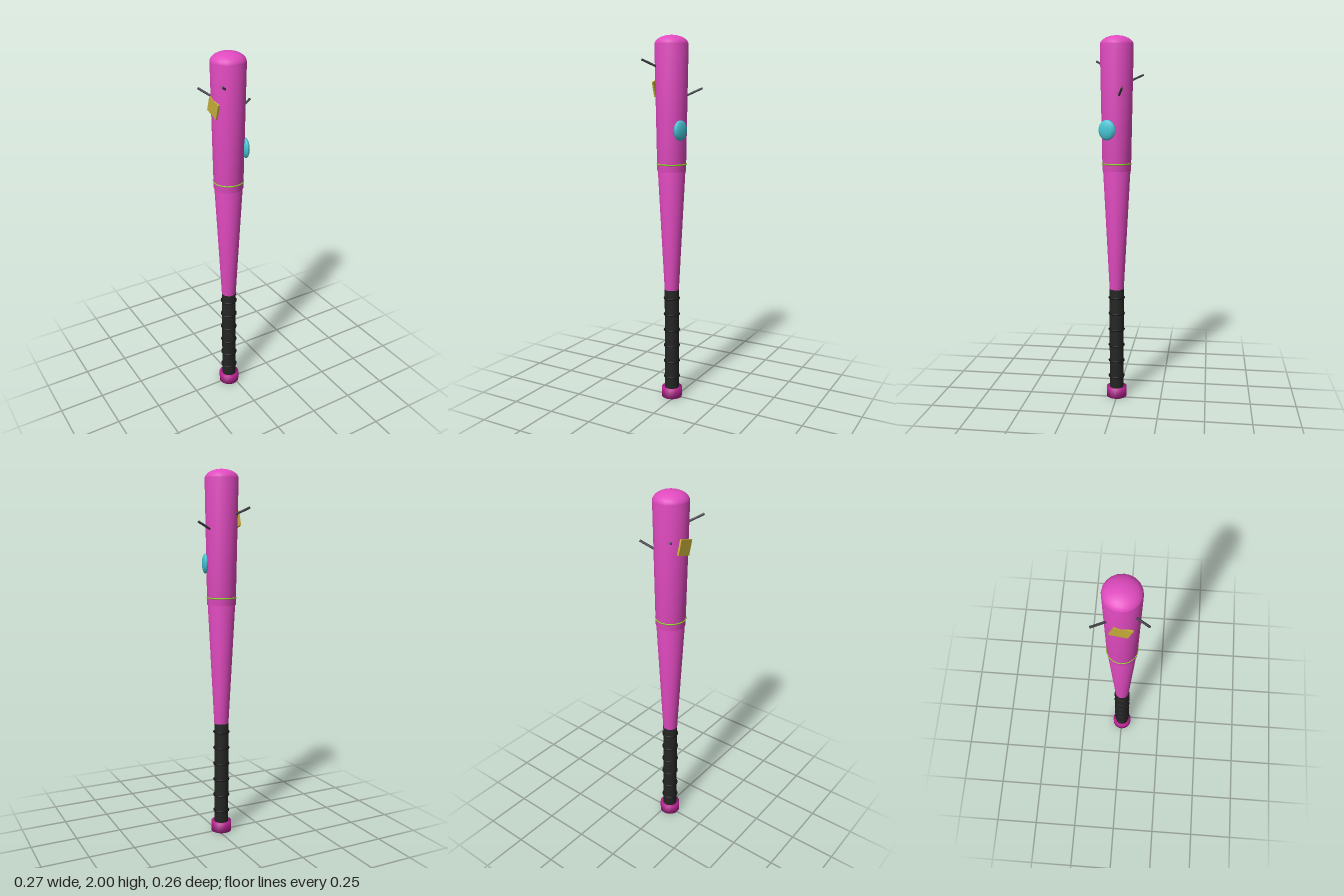
import * as THREE from 'three';
import { mergeVertices } from 'three/addons/utils/BufferGeometryUtils.js';

const paint = (name, color) => {
  const m = new THREE.MeshStandardMaterial({ color });
  m.name = name;
  return m;
};

// Share vertices between walls and caps so the shading rolls over the rims
function soften(geometry) {
  geometry.deleteAttribute('normal');
  geometry.deleteAttribute('uv');
  const merged = mergeVertices(geometry, 1e-5);
  merged.computeVertexNormals();
  return merged;
}

export function createModel() {
  const model = new THREE.Group();
  model.name = 'bat';
  const pink = paint('pink', 0xe04abf);
  const magenta = paint('dark magenta', 0xb5218f);
  const grip = paint('grip black', 0x242624);
  const cord = paint('cord black', 0x141514);
  const lime = paint('lime', 0x8ad022);
  const steel = paint('dark steel', 0x45454d);
  const cyan = paint('cyan', 0x48c6d6);
  const yellow = paint('mustard', 0xc8b03a);

  // The shaft stands slightly off centre because of the studs
  const shaft = new THREE.Group();
  shaft.name = 'shaft';
  shaft.position.set(-0.025, 0, 0.003);
  model.add(shaft);

  const add = (parent, name, geometry, material) => {
    const mesh = new THREE.Mesh(geometry, material);
    mesh.name = name;
    parent.add(mesh);
    return mesh;
  };
  const section = (name, rTop, rBottom, y0, y1, material) => {
    const geometry = soften(new THREE.CylinderGeometry(rTop, rBottom, y1 - y0, 20));
    add(shaft, name, geometry, material).position.y = (y0 + y1) / 2;
  };
  const ring = (name, radius, tube, y, material) => {
    const mesh = add(shaft, name, new THREE.TorusGeometry(radius, tube, 8, 24), material);
    mesh.rotation.x = Math.PI / 2;
    mesh.position.y = y;
  };

  // Knob, handle, taper and barrel
  section('knob', 0.057, 0.057, 0, 0.055, magenta);
  section('handle', 0.04, 0.04, 0.05, 0.635, grip);
  section('taper', 0.075, 0.04, 0.63, 1.295, pink);
  section('barrel', 0.09, 0.078, 1.29, 1.95, pink);

  // Rounded end
  const cap = add(shaft, 'endCap', new THREE.SphereGeometry(0.09, 20, 8, 0, Math.PI * 2, 0, Math.PI / 2), pink);
  cap.scale.y = 0.05 / 0.09;
  cap.position.y = 1.95;

  // Wrapped cords on the grip and the painted band
  for (let i = 0; i < 6; i++) ring('gripCord', 0.041, 0.005, 0.12 + i * 0.092, cord);
  ring('band', 0.078, 0.004, 1.328, lime);

  // Nails, each from inside the barrel to its tip
  const nails = [
    [[0.03, 1.68, -0.012], [0.132, 1.728, -0.046]],
    [[-0.06, 1.755, -0.04], [-0.121, 1.8, -0.13]],
    [[-0.062, 1.828, 0.047], [-0.132, 1.873, 0.127]],
  ];
  for (const [a, b] of nails) {
    const from = new THREE.Vector3(...a), to = new THREE.Vector3(...b);
    const nail = add(model, 'nail', new THREE.CylinderGeometry(0.006, 0.006, from.distanceTo(to), 8), steel);
    nail.position.addVectors(from, to).multiplyScalar(0.5);
    nail.quaternion.setFromUnitVectors(new THREE.Vector3(0, 1, 0), to.sub(from).normalize());
  }

  // Flattened splat
  const splat = add(model, 'splat', new THREE.SphereGeometry(1, 10, 8), cyan);
  splat.scale.set(0.017, 0.054, 0.049);
  splat.rotation.y = -0.25;
  splat.position.set(0.051, 1.51, 0.045);

  // Tilted sticker
  const sticker = add(model, 'sticker', new THREE.BoxGeometry(0.0095, 0.08, 0.09), yellow);
  sticker.rotation.x = 0.3;
  sticker.position.set(-0.109, 1.735, 0.003);

  return model;
}
